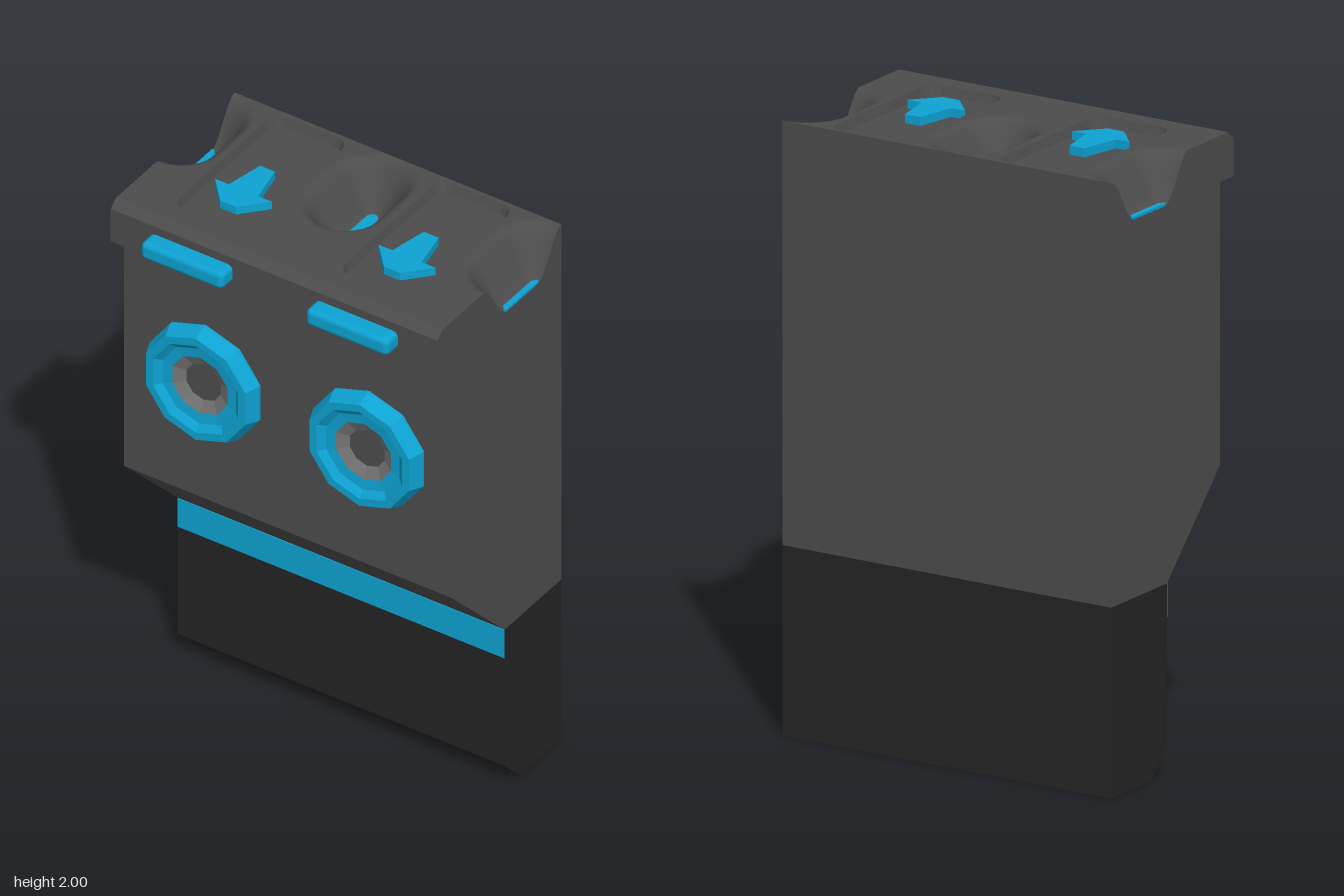
import * as THREE from 'three';
import { RoundedBoxGeometry } from 'three/addons/geometries/RoundedBoxGeometry.js';

const W = 0.613, BACK = -0.375, TOP = 2, LIP = 0.285, FLOOR = 1.85;

function material(name, color) {
  const m = new THREE.MeshStandardMaterial({ color });
  m.name = name;
  return m;
}

// Non-indexed quads, each given as four corners anticlockwise from outside
function quads(list) {
  const pos = [];
  for (const [a, b, c, d] of list) pos.push(...a, ...b, ...c, ...a, ...c, ...d);
  const g = new THREE.BufferGeometry();
  g.setAttribute('position', new THREE.Float32BufferAttribute(pos, 3));
  g.computeVertexNormals();
  return g;
}

const shapeOf = pts => new THREE.Shape(pts.map(p => new THREE.Vector2(p[0], p[1])));

// Rounded rectangle loop, anticlockwise
function roundedLoop(cx, cy, hw, hh, r, steps = 3) {
  const pts = [];
  [[1, 1], [-1, 1], [-1, -1], [1, -1]].forEach(([sx, sy], q) => {
    for (let i = 0; i <= steps; i++) {
      const a = (q + i / steps) * Math.PI / 2;
      pts.push([cx + sx * (hw - r) + r * Math.cos(a), cy + sy * (hh - r) + r * Math.sin(a)]);
    }
  });
  return pts;
}

// Height of the top surface near a scooped dip centred on x = cx
function dipHeight(x, z, cx) {
  const dz = Math.max(-0.23 - z, z + 0.085, 0);
  const d = Math.hypot(x - cx, dz);
  return TOP - (TOP - FLOOR) * (1 - THREE.MathUtils.smoothstep(d, 0.015, 0.145));
}

export function createModel() {
  const root = new THREE.Group();
  const grey = material('charcoal grey', 0x4c4c4c);
  const dark = material('near black', 0x242424);
  const blue = material('bright blue', 0x0da2d2);
  const light = material('mid grey', 0x737373);

  function add(name, geo, mat, x = 0, y = 0, z = 0) {
    const mesh = new THREE.Mesh(geo, mat);
    mesh.name = name;
    mesh.position.set(x, y, z);
    root.add(mesh);
    return mesh;
  }

  // Walls swept across x from a (z, y) profile, plus two side panels
  function prism(name, profile, extra, mat) {
    const list = [];
    for (let i = 0; i < profile.length - 1; i++) {
      const [az, ay] = profile[i], [bz, by] = profile[i + 1];
      list.push([[-W, ay, az], [W, ay, az], [W, by, bz], [-W, by, bz]]);
    }
    add(name + 'Walls', quads(list), mat);
    for (const s of [1, -1]) {
      const g = new THREE.ShapeGeometry(shapeOf([...profile, ...extra].map(([z, y]) => [-s * z, y])));
      g.rotateY(s * Math.PI / 2);
      add(name + (s > 0 ? 'LeftSide' : 'RightSide'), g, mat, s * W);
    }
  }

  // Main body with overhanging lip; its sides are notched by the end dips
  const notch = [];
  for (let i = 0; i <= 40; i++) {
    const z = 0.08 - i * 0.0112;
    notch.push([z, dipHeight(0, z, 0)]);
  }
  prism('body', [[BACK, TOP], [BACK, 0.62], [-0.06, 0.62], [0.24, 0.93], [0.24, 1.85],
    [0.315, 1.85], [0.315, 1.975], [LIP, TOP]], notch, grey);

  // Lower foot and its front stripe
  prism('foot', [[BACK, 0.62], [BACK, 0], [-0.145, 0], [-0.06, 0.09], [-0.06, 0.62]], [], dark);
  add('frontStripe', new THREE.BoxGeometry(2 * W, 0.11, 0.006), blue, 0, 0.565, -0.06);

  // Top patches with a scooped dip in the middle and at each end
  function dipPatch(name, x0, x1, cx) {
    const g = new THREE.PlaneGeometry(x1 - x0, LIP - BACK, Math.round((x1 - x0) * 90), 56);
    g.rotateX(-Math.PI / 2);
    g.translate((x0 + x1) / 2, 0, (LIP + BACK) / 2);
    const p = g.attributes.position;
    for (let i = 0; i < p.count; i++) p.setY(i, dipHeight(p.getX(i), p.getZ(i), cx));
    g.computeVertexNormals();
    add(name, g, grey);
  }
  dipPatch('middleDip', -0.16, 0.16, 0);
  dipPatch('leftDip', 0.46, W, W);
  dipPatch('rightDip', -W, -0.46, -W);

  // Blue inlays on the dip floors, halved at the ends
  function inlay(name, x0, x1, c0, c1) {
    const g = new THREE.ExtrudeGeometry(shapeOf([[x0 + c0, 0.065], [x1 - c1, 0.065], [x1, 0.08], [x1, 0.235],
      [x1 - c1, 0.25], [x0 + c0, 0.25], [x0, 0.235], [x0, 0.08]]), { depth: 0.009, bevelEnabled: false });
    g.rotateX(-Math.PI / 2);
    add(name, g, blue, 0, FLOOR - 0.001, 0);
  }
  inlay('middleInlay', -0.02, 0.02, 0.012, 0.012);
  inlay('leftInlay', W - 0.02, W, 0.012, 0);
  inlay('rightInlay', -W, -W + 0.02, 0, 0.012);

  for (const s of [1, -1]) {
    const side = s > 0 ? 'left' : 'right';
    const cx = s * 0.31, cy = 0.0725, low = TOP - 0.03;

    // Top frame around a sunken rounded panel
    const outer = roundedLoop(cx, cy, 0.141, 0.2875, 0.045);
    const inner = roundedLoop(cx, cy, 0.13, 0.2765, 0.038);
    const frame = shapeOf([[cx - 0.15, -LIP], [cx + 0.15, -LIP], [cx + 0.15, -BACK], [cx - 0.15, -BACK]]);
    frame.holes.push(new THREE.Path(outer.map(p => new THREE.Vector2(...p))));
    add(side + 'TopFrame', new THREE.ShapeGeometry(frame).rotateX(-Math.PI / 2), grey, 0, TOP);
    add(side + 'PanelFloor', new THREE.ShapeGeometry(shapeOf(inner)).rotateX(-Math.PI / 2), grey, 0, low);
    add(side + 'PanelRim', quads(outer.map((o, i) => {
      const j = (i + 1) % outer.length, at = (p, y) => [p[0], y, -p[1]];
      return [at(o, TOP), at(outer[j], TOP), at(inner[j], low), at(inner[i], low)];
    })), grey);

    // Raised arrow pointing to the front
    const half = [[0.028, 0.105], [0.055, -0.03], [0.107, -0.03], [0.03, -0.115]];
    const arrow = new THREE.ExtrudeGeometry(
      shapeOf([...half, ...half.map(([x, y]) => [-x, y]).reverse()]), { depth: 0.029, bevelEnabled: false });
    add(side + 'Arrow', arrow.rotateX(-Math.PI / 2), blue, s * 0.307, low, 0);

    // Tab on the lip
    add(side + 'Tab', new RoundedBoxGeometry(0.31, 0.065, 0.1, 2, 0.02), blue, s * 0.31, 1.9125, 0.325);

    // Ten-sided socket: blue surround, grey ring, dark centre
    const ring = (name, pts, mat) => {
      let g = new THREE.LatheGeometry(pts.map(p => new THREE.Vector2(...p)), 10);
      g = g.toNonIndexed();
      g.computeVertexNormals();
      g.rotateX(Math.PI / 2);
      add(side + name, g, mat, s * 0.307, 1.39, 0.24);
    };
    ring('SocketSurround', [[0.216, 0], [0.216, 0.008], [0.196, 0.056], [0.168, 0.056], [0.145, 0.036], [0.108, 0.032]], blue);
    ring('SocketRing', [[0.108, 0.032], [0.068, 0.012]], light);
    ring('SocketCentre', [[0.068, 0.012], [0, 0.012]], grey);
  }
  return root;
}
